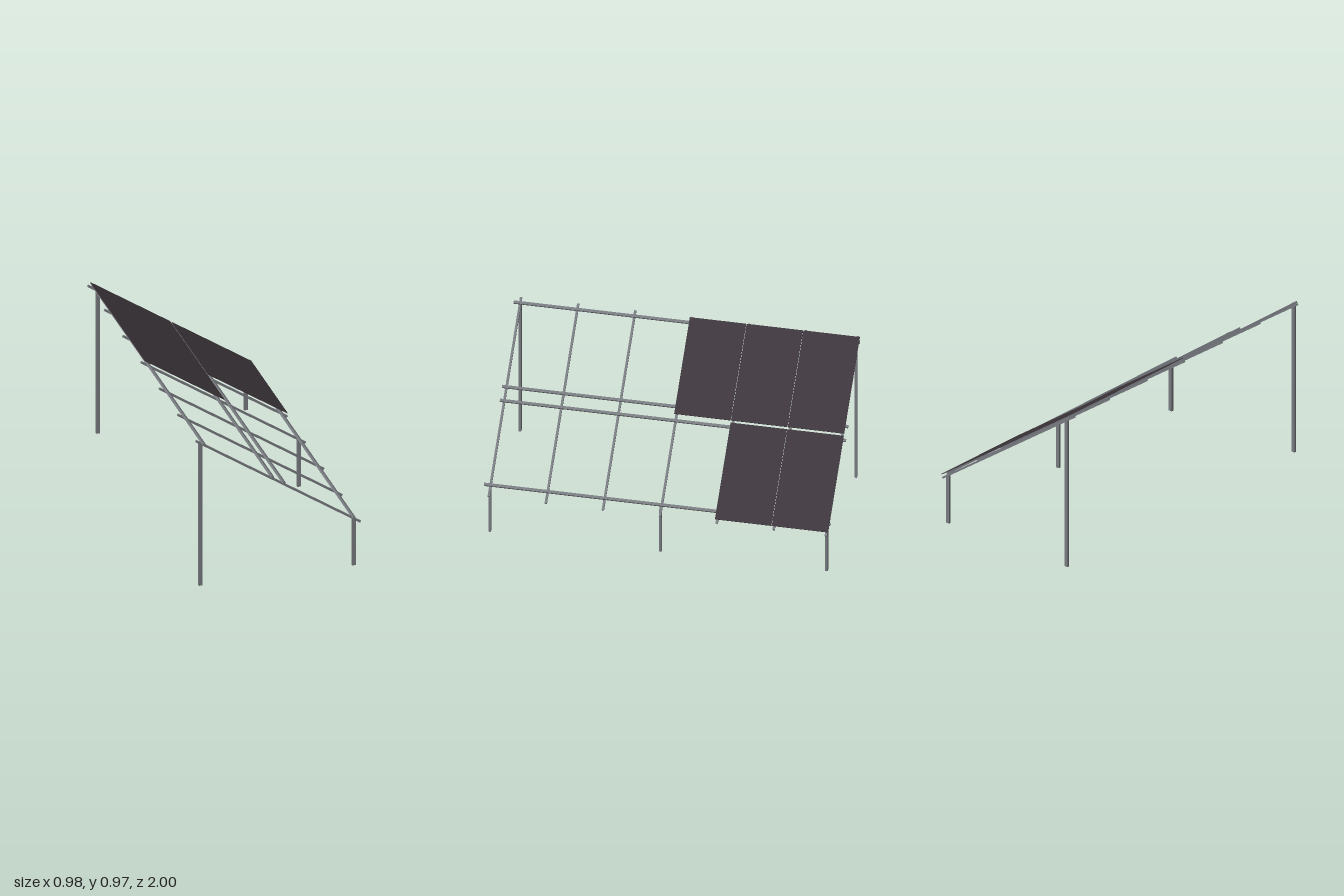
import * as THREE from 'three';

const SLOPE = Math.atan2(0.683, 0.978);
const MID_Y = 0.6125; // rafter centre line height at x = 0

const steel = new THREE.MeshStandardMaterial({ color: 0x777a7f });
steel.name = 'galvanised steel';
const dark = new THREE.MeshStandardMaterial({ color: 0x3d363c });
dark.name = 'dark panel';

const roofY = (x) => MID_Y - Math.tan(SLOPE) * x;

function add(parent, name, geometry, material, x, y, z) {
  const mesh = new THREE.Mesh(geometry, material);
  mesh.name = name;
  mesh.position.set(x, y, z);
  parent.add(mesh);
  return mesh;
}

// Upright with its top cut to follow the roof slope
function addPost(parent, name, x, z, bottom) {
  const h = 0.011, depth = 0.014;
  const shape = new THREE.Shape([
    new THREE.Vector2(x - h, bottom),
    new THREE.Vector2(x + h, bottom),
    new THREE.Vector2(x + h, roofY(x + h)),
    new THREE.Vector2(x - h, roofY(x - h)),
  ]);
  const geometry = new THREE.ExtrudeGeometry(shape, { depth, bevelEnabled: false });
  add(parent, name, geometry, steel, 0, 0, z - depth / 2);
}

export function createModel() {
  const model = new THREE.Group();
  model.name = 'solarPanelRack';

  // Posts: three short ones on the low side, two tall ones on the high side
  for (const z of [0.965, -0.015, -0.97]) addPost(model, 'shortPost', 0.449, z, 0);
  addPost(model, 'tallPost', -0.462, 0.965, 0.025);
  addPost(model, 'tallPost', -0.429, -0.97, 0);

  // Sloping roof: local x runs down the slope, local y is its normal
  const roof = new THREE.Group();
  roof.name = 'roof';
  roof.position.y = MID_Y;
  roof.rotation.z = -SLOPE;
  model.add(roof);

  // Rafters
  const rafter = new THREE.BoxGeometry(1.192, 0.011, 0.013);
  for (const z of [0.965, 0.637, 0.309, -0.019, -0.345, -0.672, -0.972]) {
    add(roof, 'rafter', rafter, steel, 0, 0, z);
  }

  // Purlins across the rafters: [position down the slope, z offset]
  const purlin = new THREE.BoxGeometry(0.016, 0.0135, 1.988);
  for (const [s, z] of [[-0.559, 0.006], [-0.057, -0.006], [0.026, -0.006], [0.529, 0.006]]) {
    add(roof, 'purlin', purlin, steel, s, 0.0121, z);
  }

  // Panels: three in the upper row, two in the lower row
  const panel = new THREE.BoxGeometry(0.577, 0.004, 0.324);
  [[-0.299, 3], [0.291, 2]].forEach(([s, count]) => {
    for (let i = 0; i < count; i++) {
      add(roof, 'panel', panel, dark, s, 0.0208, -0.823 + i * 0.3265);
    }
  });

  return model;
}
